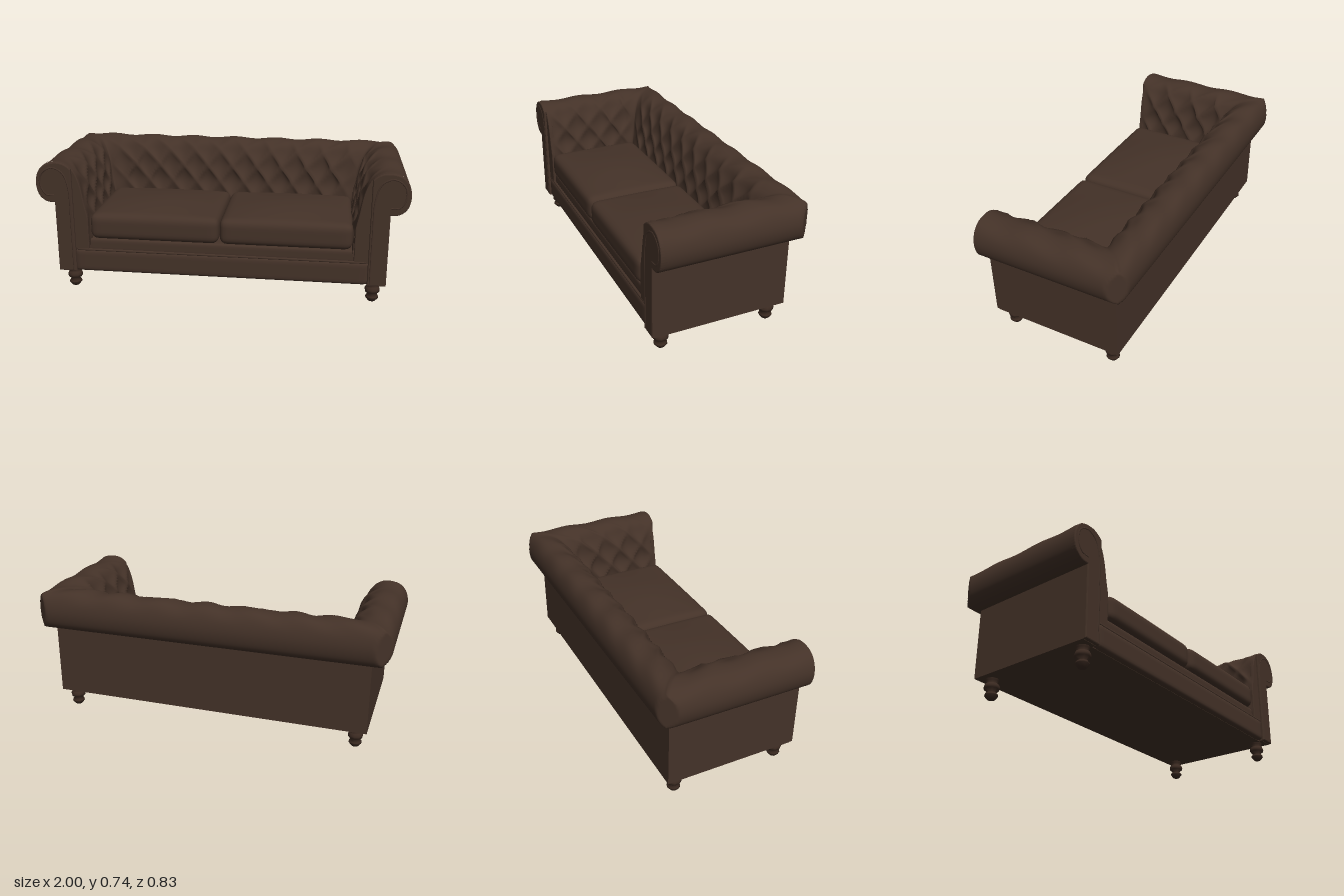
import * as THREE from 'three';
import { mergeVertices } from 'three/addons/utils/BufferGeometryUtils.js';

const leather = new THREE.MeshStandardMaterial({ color: 0x443228 });
leather.name = 'brown leather';
const wood = new THREE.MeshStandardMaterial({ color: 0x3b2a21 });
wood.name = 'dark wood';

// Body footprint and front edge of the arms
const BX = 0.9, BACK = -0.335, FRONT = 0.395;

// Cross-section of the arm and back: x = offset outward from the body, y = height
const section = new THREE.SplineCurve([
  [0, 0.51], [0.045, 0.515], [0.085, 0.55], [0.1, 0.615], [0.085, 0.68], [0.045, 0.722],
  [-0.02, 0.735], [-0.07, 0.722], [-0.11, 0.685], [-0.14, 0.61], [-0.16, 0.5], [-0.178, 0.4], [-0.18, 0.26],
].map(([d, y]) => new THREE.Vector2(d, y)));
const ROWS = 60;
const profile = section.getSpacedPoints(ROWS);
const sectionLength = section.getLength();

function add(parent, geometry, material, name, x = 0, y = 0, z = 0) {
  const mesh = new THREE.Mesh(geometry, material);
  mesh.name = name;
  mesh.position.set(x, y, z);
  parent.add(mesh);
  return mesh;
}

// Box with rounded edges and an optional domed top
function softBox(w, h, d, r, crown = 0, sx = 24, sy = 8, sz = 20) {
  let g = new THREE.BoxGeometry(w, h, d, sx, sy, sz);
  g.deleteAttribute('uv');
  g.deleteAttribute('normal');
  g = mergeVertices(g);
  const p = g.attributes.position;
  const half = new THREE.Vector3(w / 2 - r, h / 2 - r, d / 2 - r);
  const low = half.clone().negate();
  const v = new THREE.Vector3(), core = new THREE.Vector3();
  for (let i = 0; i < p.count; i++) {
    v.fromBufferAttribute(p, i);
    core.copy(v).clamp(low, half);
    v.sub(core);
    if (v.length() > r) v.setLength(r);
    v.add(core);
    if (v.y > 0) {
      v.y += crown * (v.y / (h / 2)) * Math.cos((v.x / w) * Math.PI) * Math.cos((v.z / d) * Math.PI);
    }
    p.setXYZ(i, v.x, v.y, v.z);
  }
  g.computeVertexNormals();
  return g;
}

// Diamond tufting: folds at 0, pillow centres at 1
function tuft(u, v) {
  const a = Math.PI * (u / 0.15 + v / 0.19), b = Math.PI * (u / 0.15 - v / 0.19);
  return Math.sqrt(Math.abs(Math.sin(a) * Math.sin(b)));
}

// Rolled, tufted shell swept around the two arms and the back with mitred corners
function rolledShell() {
  const ARM = 50, WIDE = 120;
  const stations = [];
  for (let i = 0; i <= ARM; i++) stations.push(['right', i / ARM]);
  for (let i = 1; i < WIDE; i++) stations.push(['back', i / WIDE]);
  for (let i = ARM; i >= 0; i--) stations.push(['left', i / ARM]);
  const pos = [], index = [];
  for (const [run, t] of stations) {
    for (let j = 0; j <= ROWS; j++) {
      const v = j / ROWS;
      const tan = section.getTangentAt(v);
      const along = run === 'back' ? (t - 0.5) * 1.5 : FRONT - t * 0.55;
      // Tufts fade in over the crest and fade out near the mitres and arm fronts
      const edge = run === 'back' ? Math.min(t, 1 - t) * 12 : Math.min(t, 1 - t) * 8;
      const fade = THREE.MathUtils.smoothstep(v, 0.38, 0.58) * Math.min(1, edge);
      const puff = fade * 0.034 * (tuft(along, v * sectionLength) - 0.6);
      const d = profile[j].x - tan.y * puff;
      const y = profile[j].y + tan.x * puff
        + 0.005 * Math.cos(along * 30) * THREE.MathUtils.smoothstep(profile[j].y, 0.66, 0.73);
      let x = BX + d, z = BACK - d * (d > 0 ? 0.8 : 1);
      if (run === 'back') x *= 1 - 2 * t;
      else {
        z = THREE.MathUtils.lerp(FRONT, z, t);
        if (run === 'left') x = -x;
      }
      // Soften the outer back corners
      const over = Math.max(0, Math.abs(x) - z - 1.335) / 2;
      x -= Math.sign(x) * over;
      z += over;
      pos.push(x, y, z);
    }
  }
  const n = ROWS + 1;
  for (let i = 0; i < stations.length - 1; i++) {
    for (let j = 0; j < ROWS; j++) {
      const a = i * n + j, b = a + n;
      index.push(a, b, a + 1, b, b + 1, a + 1);
    }
  }
  const g = new THREE.BufferGeometry();
  g.setAttribute('position', new THREE.Float32BufferAttribute(pos, 3));
  g.setIndex(index);
  g.computeVertexNormals();
  return g;
}

// Arm front following the roll, reaching inward to a given offset
function armFacing(side, inner, bottom, depth, bevel) {
  const pts = profile.map((p) => new THREE.Vector2(side * (BX + Math.max(p.x, inner)), p.y));
  pts.push(new THREE.Vector2(side * (BX + inner), bottom), new THREE.Vector2(side * BX, bottom));
  return new THREE.ExtrudeGeometry(new THREE.Shape(pts), {
    depth, bevelEnabled: true, bevelThickness: bevel, bevelSize: bevel, bevelOffset: -bevel, bevelSegments: 2,
  });
}

export function createModel() {
  const sofa = new THREE.Group();
  sofa.name = 'sofa';

  // Outer body panels
  const depth = FRONT - BACK, midZ = (FRONT + BACK) / 2;
  add(sofa, new THREE.BoxGeometry(BX * 2, 0.42, 0.09), leather, 'backPanel', 0, 0.32, BACK + 0.045);
  add(sofa, new THREE.BoxGeometry(BX * 2, 0.12, depth - 0.02), leather, 'base', 0, 0.17, midZ - 0.01);
  for (const s of [-1, 1]) {
    add(sofa, new THREE.BoxGeometry(0.09, 0.42, depth), leather, 'sidePanel', s * (BX - 0.045), 0.32, midZ);
  }

  // Rolled arms and back
  add(sofa, rolledShell(), leather, 'rolledArmsAndBack').material = leather;

  // Stepped arm fronts with piping
  for (const s of [-1, 1]) {
    add(sofa, armFacing(s, -0.175, 0.235, 0.015, 0.005), leather, 'innerArmFacing', 0, 0, 0.38);
    add(sofa, armFacing(s, -0.1, 0.112, 0.02, 0.006), leather, 'armFront', 0, 0, 0.388);
    const path = new THREE.CatmullRomCurve3([
      [0.815, 0.12], [0.815, 0.4], [0.82, 0.6], [0.85, 0.68], [0.91, 0.705], [0.965, 0.67],
      [0.975, 0.61], [0.945, 0.555], [0.9, 0.55],
    ].map(([x, y]) => new THREE.Vector3(s * x, y, 0.412)));
    add(sofa, new THREE.TubeGeometry(path, 40, 0.005, 6), leather, 'armPiping');
  }

  // Front rail, seat deck and piping between them
  add(sofa, softBox(1.61, 0.125, 0.1, 0.015, 0, 60, 8, 8), leather, 'frontRail', 0, 0.174, 0.355);
  add(sofa, softBox(1.56, 0.075, 0.68, 0.012, 0, 40, 6, 30), leather, 'seatDeck', 0, 0.262, 0.045);
  const piping = new THREE.CylinderGeometry(0.007, 0.007, 1.58, 8);
  piping.rotateZ(Math.PI / 2);
  add(sofa, piping, leather, 'railPiping', 0, 0.238, 0.395);

  // Seat cushions
  const cushion = softBox(0.714, 0.145, 0.565, 0.04, 0.03, 32, 10, 28);
  for (const s of [-1, 1]) add(sofa, cushion, leather, 'seatCushion', s * 0.359, 0.372, 0.122);

  // Turned feet
  const foot = new THREE.LatheGeometry([
    [0, 0], [0.02, 0], [0.036, 0.02], [0.034, 0.028], [0.024, 0.04], [0.04, 0.055], [0.042, 0.068],
    [0.036, 0.082], [0.026, 0.088], [0.034, 0.1], [0.036, 0.115],
  ].map(([r, y]) => new THREE.Vector2(r, y)), 10);
  for (const s of [-1, 1]) {
    add(sofa, foot, wood, 'frontFoot', s * 0.835, 0, 0.34);
    add(sofa, foot, wood, 'backFoot', s * 0.835, 0, -0.27);
  }
  return sofa;
}
